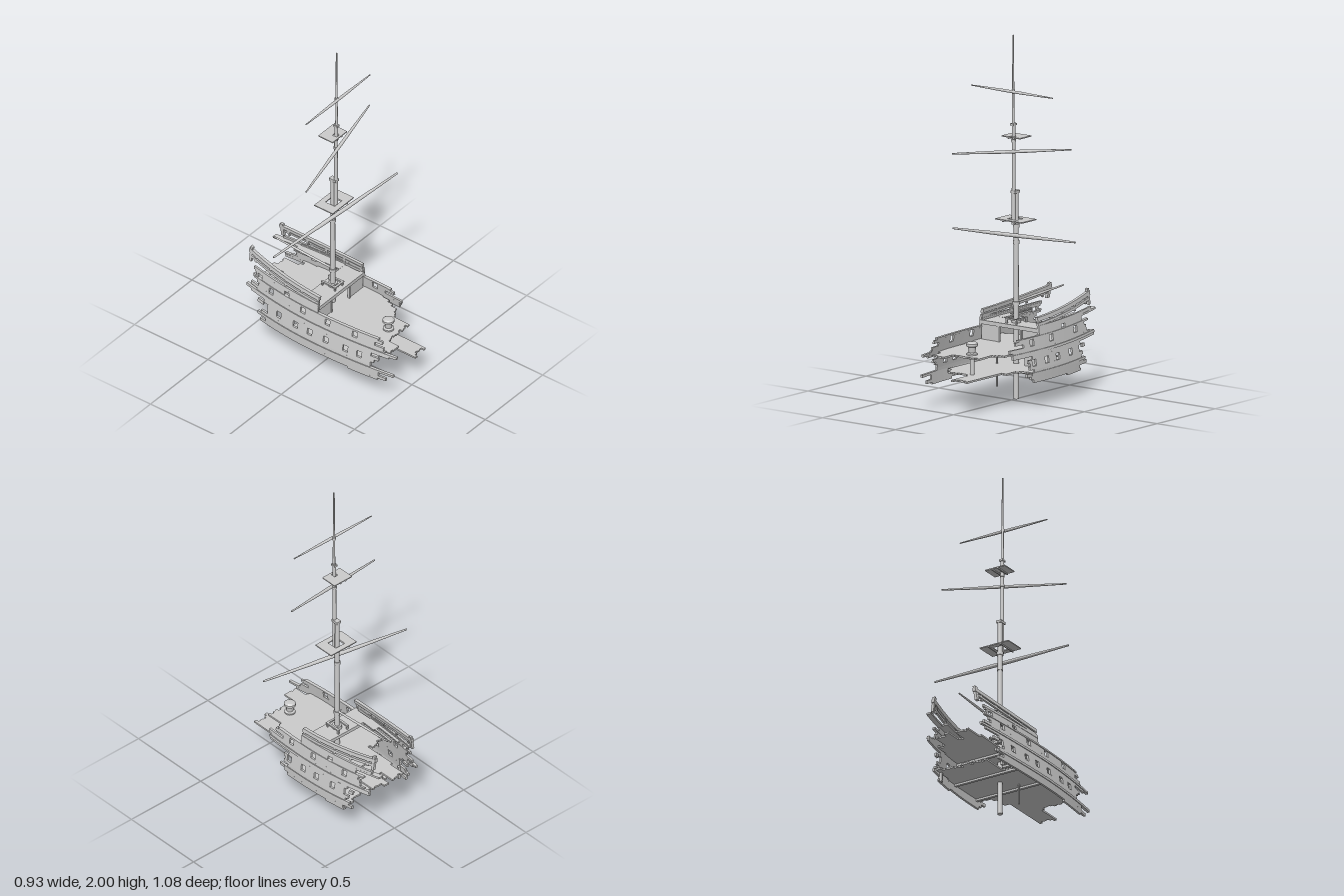
import * as THREE from 'three';

const mat = new THREE.MeshStandardMaterial({ color: 0xcccccc, flatShading: true });
const smooth = new THREE.MeshStandardMaterial({ color: 0xcccccc });

// seeded noise in -1..1, for the splintered plank ends
let seed = 7;
const rnd = () => {
  seed = (seed * 16807) % 2147483647;
  return (seed / 2147483647) * 2 - 1;
};

// hull half breadth at a height and station; rises with sheer towards the stern
const breadth = (y, z) => 0.236 - 0.155 * (z - 0.05) ** 2 - 0.15 * Math.max(y - 0.2, 0);
const sheer = (z) => (z < 0 ? 0.08 * z * z : 0);
const railRise = (z) => {
  const t = Math.max(0.02 - z, 0);
  return 0.04 * t + 0.14 * t * t;
};

function add(parent, name, geo, x = 0, y = 0, z = 0, m = mat) {
  const mesh = new THREE.Mesh(geo, m);
  mesh.name = name;
  mesh.position.set(x, y, z);
  parent.add(mesh);
  return mesh;
}

const box = (parent, name, w, h, d, x, y, z) => add(parent, name, new THREE.BoxGeometry(w, h, d), x, y, z);

// box bent to follow the hull side
function strake(parent, name, side, yc, h, z0, z1, th = 0.012, off = 0, lift = sheer) {
  if (z1 - z0 < 0.008) return;
  const geo = new THREE.BoxGeometry(th, h, z1 - z0, 1, 1, Math.max(1, Math.ceil((z1 - z0) / 0.06)));
  const p = geo.attributes.position;
  for (let i = 0; i < p.count; i++) {
    const z = p.getZ(i) + (z0 + z1) / 2;
    const y = yc + p.getY(i) + lift(z);
    p.setXYZ(i, side * (breadth(y, z) - th / 2 + off) + p.getX(i), y, z);
  }
  geo.computeVertexNormals();
  add(parent, name, geo);
}

// spar between two points, thickest in the middle
function spar(parent, name, a, b, rA, rMid, rB) {
  const A = new THREE.Vector3(...a), B = new THREE.Vector3(...b);
  const len = A.distanceTo(B);
  const prof = [[0, 0], [rA, 0], [rMid, len * 0.4], [rMid, len * 0.6], [rB, len], [0, len]];
  const mesh = add(parent, name, new THREE.LatheGeometry(prof.map((q) => new THREE.Vector2(...q)), 12));
  mesh.position.copy(A);
  mesh.quaternion.setFromUnitVectors(new THREE.Vector3(0, 1, 0), B.sub(A).normalize());
}

// deck of fore-and-aft planks, trimmed to the hull and broken at both ends
function deck(parent, name, y, x0, x1, back, front, slope = 0) {
  const g = new THREE.Group();
  g.name = name;
  parent.add(g);
  const n = Math.round((x1 - x0) / 0.0165), w = (x1 - x0) / n;
  for (let i = 0; i < n; i++) {
    const x = x0 + (i + 0.5) * w;
    const room = breadth(y, 0.05) - 0.012 - Math.abs(x);
    if (room <= 0) continue;
    const lim = Math.sqrt(room / 0.155);
    const a = Math.max(back(x), 0.05 - lim);
    const b = Math.min(front(x), 0.05 + lim);
    const zc = (a + b) / 2;
    box(g, 'deckPlank', w, 0.01, b - a, x, y - slope * zc, zc).rotation.x = Math.atan(slope);
  }
}

// stepped broken edge: [upper x, z] pairs
const steps = (table, jag) => (x) => table.find((t) => x < t[0])[1] + rnd() * jag;

function hullSide(parent, side) {
  const g = new THREE.Group();
  g.name = side > 0 ? 'leftHullSide' : 'rightHullSide';
  parent.add(g);
  const right = side < 0;
  const rowH = 0.018;
  const lowerPorts = [-0.34, -0.24, -0.12, -0.02, 0.09, 0.22, 0.31];
  const upperPorts = [-0.31, -0.08, 0.09, 0.27];
  const sternPorts = [-0.4, -0.2];
  for (let k = 0; k < 16; k++) {
    const y = 0.149 + k * rowH;
    const front = y < 0.2 ? (right ? 0.45 : 0.14) : y < 0.29 ? (right ? 0.4 : 0.11)
      : y < 0.33 ? (right ? 0.49 : 0.24) : y < 0.38 ? (right ? 0.41 : 0.19) : 0.02;
    const back = y < 0.29 ? -0.36 : y < 0.33 ? -0.45 : -0.42;
    const ports = k === 5 || k === 6 ? lowerPorts : k === 11 || k === 12 ? upperPorts : k === 13 || k === 14 ? sternPorts : [];
    const zEnd = y < 0.38 ? front + rnd() * 0.04 : front;
    let z = back + rnd() * 0.045;
    for (const p of ports) {
      if (p + 0.016 > zEnd) break;
      strake(g, 'hullPlank', side, y, rowH, z, p - 0.016);
      z = Math.max(z, p + 0.016);
    }
    strake(g, 'hullPlank', side, y, rowH, z, zEnd);
  }
  strake(g, 'brokenLowPlank', side, 0.135, 0.012, right ? 0.24 : -0.33, right ? 0.43 : -0.2);
  // thick outer wales and the waist rail
  strake(g, 'lowerWale', side, 0.19, 0.014, -0.37, right ? 0.53 : 0.12, 0.016, 0.004);
  strake(g, 'middleWale', side, 0.305, 0.014, -0.49, right ? 0.54 : 0.26, 0.016, 0.005);
  strake(g, 'waistRail', side, 0.38, 0.01, -0.44, right ? 0.42 : 0.2, 0.018, 0.004);
  // quarterdeck bulwark with open rails
  strake(g, 'bulwarkPlank', side, 0.428, 0.016, right ? -0.45 : -0.49, 0.02, 0.012, 0.002);
  strake(g, 'bulwarkRail', side, 0.441, 0.014, -0.48, 0.02, 0.012, 0, railRise);
  strake(g, 'topRail', side, 0.468, 0.022, -0.5, 0.02, 0.018, 0, railRise);
  for (let i = 0; i < 5; i++) {
    const z = 0.01 - i * 0.115;
    strake(g, 'railStanchion', side, 0.445, 0.044, z - 0.006, z + 0.006, 0.01, -0.004, railRise);
  }
  strake(g, 'sternPost', side, 0.45, 0.085, -0.495, -0.478, 0.016, -0.002, railRise);
  strake(g, 'brokenRib', side, 0.165, 0.08, -0.325, -0.31, 0.014, -0.012);
  // side walks of the quarterdeck, broken short on the right
  if (right) {
    strake(g, 'sideWalk', side, 0.413, 0.01, -0.19, -0.1, 0.065);
    strake(g, 'sideWalkPlank', side, 0.413, 0.01, -0.36, -0.19, 0.028);
    strake(g, 'sideWalkPlank', side, 0.413, 0.01, -0.33, -0.19, 0.012, -0.045);
  } else {
    strake(g, 'sideWalk', side, 0.413, 0.01, -0.39, -0.1, 0.065);
    strake(g, 'sideWalkPlank', side, 0.413, 0.01, -0.54, -0.39, 0.03);
  }
}

function topPlatform(parent, name, y, x0, x1, z0, z1, hx, hz0, hz1) {
  const s = new THREE.Shape();
  s.moveTo(x0, z0).lineTo(x1, z0).lineTo(x1, z1).lineTo(x0, z1).closePath();
  const hole = new THREE.Path();
  hole.moveTo(-hx, hz0).lineTo(-hx, hz1).lineTo(hx, hz1).lineTo(hx, hz0).closePath();
  s.holes.push(hole);
  const geo = new THREE.ExtrudeGeometry(s, { depth: 0.006, bevelEnabled: false });
  geo.rotateX(Math.PI / 2);
  add(parent, name, geo, 0, y + 0.003, 0);
  for (const k of [-1, 1]) box(parent, name + 'Bearer', 0.007, 0.007, z1 - z0, k * (hx + 0.006), y - 0.006, (z0 + z1) / 2);
}

export function createModel() {
  const ship = new THREE.Group();
  ship.name = 'shipSection';
  hullSide(ship, 1);
  hullSide(ship, -1);

  // decks
  deck(ship, 'lowerDeck', 0.19, -0.2, 0.22,
    steps([[-0.1, -0.17], [0.125, -0.33], [1, -0.35]], 0.015),
    steps([[-0.17, 0.3], [0, 0.36], [0.095, 0.51], [0.13, 0.2], [1, 0.12]], 0.02));
  deck(ship, 'mainDeck', 0.306, -0.215, 0.215,
    steps([[-0.1, -0.18], [-0.085, -0.36], [0, -0.47], [0.04, -0.4], [0.125, -0.48], [1, -0.37]], 0.015),
    steps([[-0.17, 0.4], [-0.08, 0.47], [0.1, 0.4], [0.13, 0.29], [0.16, 0.27], [0.18, 0.23], [1, 0.19]], 0.008), 0.02);
  deck(ship, 'quarterDeck', 0.413, -0.2, 0.2, () => -0.1, () => 0.02);

  // beams under the decks
  for (const [y, zs] of [[0.18, [-0.15, 0.07]], [0.295, [-0.15, 0, 0.15]], [0.402, [-0.09]]]) {
    for (const z of zs) box(ship, 'deckBeam', 2 * breadth(y, z) - 0.03, 0.012, 0.016, 0, y, z);
  }

  // bulkhead with a wide doorway
  const wall = new THREE.Group();
  wall.name = 'bulkhead';
  ship.add(wall);
  box(wall, 'bulkheadHead', 0.39, 0.022, 0.016, 0, 0.407, 0.015);
  for (const s of [-1, 1]) {
    box(wall, 'bulkheadPanel', 0.12, 0.1, 0.008, s * 0.138, 0.35, 0.008);
    box(wall, 'doorPost', 0.01, 0.1, 0.014, s * 0.078, 0.35, 0.01);
  }
  box(ship, 'lowerBulkheadPanel', 0.13, 0.1, 0.008, 0.14, 0.245, -0.02);
  box(ship, 'loosePost', 0.008, 0.23, 0.008, -0.075, 0.185, 0.032);

  // capstan
  const cap = [[0, 0], [0.03, 0], [0.03, 0.01], [0.018, 0.015], [0.022, 0.045], [0.032, 0.05], [0.032, 0.064], [0.022, 0.071], [0, 0.073]];
  add(ship, 'capstan', new THREE.LatheGeometry(cap.map((p) => new THREE.Vector2(...p)), 16), 0, 0.302, 0.34);
  add(ship, 'capstanShaft', new THREE.CylinderGeometry(0.012, 0.012, 0.12, 12), 0, 0.245, 0.34);

  // mast in three lengths with bands and caps
  const cyl = (name, rt, rb, y0, y1, z) =>
    add(ship, name, new THREE.CylinderGeometry(rt, rb, y1 - y0, 16), 0, (y0 + y1) / 2, z, smooth);
  cyl('lowerMast', 0.013, 0.015, 0, 1.145, -0.04);
  cyl('topMast', 0.009, 0.011, 0.96, 1.52, -0.018);
  cyl('topgallantMast', 0.004, 0.008, 1.41, 2, -0.014);
  for (const [y, r] of [[0.43, 0.026], [0.525, 0.019], [0.86, 0.017], [0.95, 0.018]]) cyl('mastBand', r, r, y - 0.01, y + 0.01, -0.04);
  box(ship, 'lowerMastCap', 0.03, 0.014, 0.046, 0, 1.138, -0.032);
  box(ship, 'topMastCap', 0.022, 0.01, 0.03, 0, 1.51, -0.016);
  for (const y of [1.36, 1.42]) cyl('topMastBand', 0.013, 0.013, y - 0.006, y + 0.006, -0.018);
  cyl('topgallantBand', 0.01, 0.01, 1.682, 1.698, -0.014);
  topPlatform(ship, 'lowerTop', 0.986, -0.09, 0.094, -0.096, 0.03, 0.032, -0.065, -0.002);
  topPlatform(ship, 'upperTop', 1.441, -0.062, 0.064, -0.09, 0.008, 0.012, -0.032, -0.004);

  // rail around the mast foot
  for (const s of [-1, 1]) {
    for (const z of [-0.085, 0]) box(ship, 'fifePost', 0.009, 0.03, 0.009, s * 0.032, 0.43, z);
    box(ship, 'fifeRail', 0.012, 0.008, 0.1, s * 0.032, 0.442, -0.042);
  }
  box(ship, 'fifeCrossRail', 0.08, 0.008, 0.012, 0, 0.442, 0.002);

  // yards and boom
  spar(ship, 'lowerYard', [-0.465, 0.868, -0.08], [0.465, 0.93, 0.035], 0.005, 0.011, 0.005);
  spar(ship, 'middleYard', [-0.36, 1.313, 0.06], [0.355, 1.408, -0.068], 0.004, 0.009, 0.004);
  spar(ship, 'upperYard', [-0.28, 1.69, -0.004], [0.28, 1.69, -0.004], 0.003, 0.008, 0.003);
  spar(ship, 'boom', [0, 0.532, -0.04], [0, 0.558, -0.445], 0.006, 0.007, 0.004);
  return ship;
}
